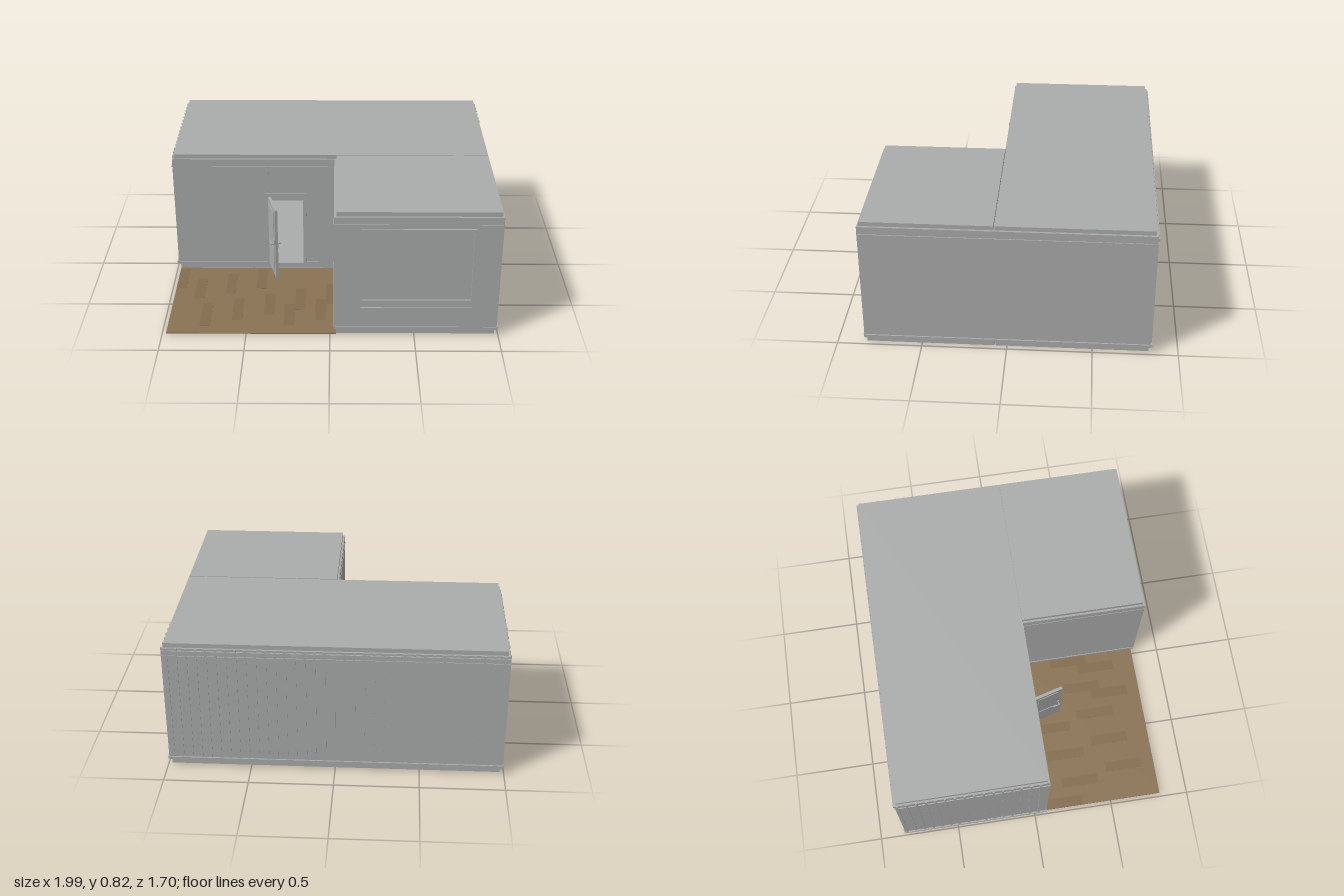
import * as THREE from 'three';

export function createModel() {
  const group = new THREE.Group();
  const grey = new THREE.MeshStandardMaterial({ color: 0xabadac });
  grey.name = 'panelGrey';
  const wood = new THREE.MeshStandardMaterial({ color: 0x8b7355 });
  wood.name = 'deckWood';
  const darkWood = new THREE.MeshStandardMaterial({ color: 0x846c4f });
  darkWood.name = 'deckWoodDark';

  // Box given by its limits on each axis
  function box(name, x0, x1, y0, y1, z0, z1, mat = grey, parent = group) {
    const mesh = new THREE.Mesh(new THREE.BoxGeometry(x1 - x0, y1 - y0, z1 - z0), mat);
    mesh.position.set((x0 + x1) / 2, (y0 + y1) / 2, (z0 + z1) / 2);
    mesh.name = name;
    parent.add(mesh);
    return mesh;
  }

  // Front-facing wall with one rectangular opening [x0, x1, y0, y1]
  function wallWithOpening(name, x0, x1, y0, y1, z, depth, o) {
    const s = new THREE.Shape();
    s.moveTo(x0, y0).lineTo(x1, y0).lineTo(x1, y1).lineTo(x0, y1).closePath();
    const h = new THREE.Path();
    h.moveTo(o[0], o[2]).lineTo(o[0], o[3]).lineTo(o[1], o[3]).lineTo(o[1], o[2]).closePath();
    s.holes.push(h);
    const mesh = new THREE.Mesh(new THREE.ExtrudeGeometry(s, { depth, bevelEnabled: false }), grey);
    mesh.position.z = z;
    mesh.name = name;
    group.add(mesh);
  }

  const low = 0.042, high = 0.795;

  // Base and roof slabs of the long and the short module
  for (const [name, y0, y1] of [['base', 0.008, 0.038], ['roof', 0.797, 0.822]]) {
    box(name + 'Long', -0.977, 0.977, y0, y1, -0.828, 0.065);
    box(name + 'Short', 0.037, 0.977, y0, y1, 0.072, 0.825);
  }
  // Recessed core strips between slabs and walls
  box('floorLong', -0.97, 0.97, 0.036, 0.046, -0.82, 0.06);
  box('floorShort', 0.045, 0.97, 0.036, 0.046, 0.075, 0.82);
  box('ceilingLong', -0.97, 0.97, 0.787, 0.798, -0.82, 0.06);
  box('ceilingShort', 0.045, 0.97, 0.787, 0.798, 0.075, 0.82);

  // Walls
  box('backWall', -0.988, 0.988, low, high, -0.84, -0.828);
  box('leftWall', -0.988, -0.975, low, high, -0.828, 0.076);
  box('rightWall', 0.975, 0.988, low, high, -0.828, 0.838);
  box('innerWall', 0.025, 0.037, low, high, 0.07, 0.838);
  wallWithOpening('entranceWall', -0.975, 0.975, low, high, 0.063, 0.012, [-0.395, -0.175, 0.05, 0.54]);
  wallWithOpening('windowWall', 0.037, 0.975, low, high, 0.826, 0.012, [0.19, 0.825, 0.245, 0.7]);

  // Battens on the back, the left and the rear of the right side
  const step = 0.0565;
  for (let i = 0; i < 35; i++) {
    const x = -0.96 + i * step;
    box('backBatten', x - 0.006, x + 0.006, 0.065, high, -0.845, -0.828);
  }
  for (let i = 0; i < 16; i++) {
    const z = -0.825 + i * step;
    box('leftBatten', -0.994, -0.975, 0.065, high, z - 0.006, z + 0.006);
    if (i < 6) box('rightBatten', 0.975, 0.993, 0.065, high, z - 0.006, z + 0.006);
  }

  // Flashing around the foot and a drip strip below the roof
  const bands = [['footFlashing', 0.045, 0.063, 0.009], ['dripStrip', 0.743, 0.749, 0.006]];
  for (const [name, y0, y1, out] of bands) {
    box(name + 'Back', -0.99, 0.99, y0, y1, -0.84 - out, -0.835);
    box(name + 'Left', -0.988 - out, -0.98, y0, y1, -0.84, 0.078);
    box(name + 'Right', 0.98, 0.988 + out, y0, y1, -0.84, 0.838);
    box(name + 'Front', 0.03, 0.985, y0, y1, 0.83, 0.838 + out / 2);
    box(name + 'Inner', 0.025 - out / 2, 0.03, y0, y1, 0.075, 0.838);
    if (name === 'dripStrip') box(name + 'Entrance', -0.985, 0.025, y0, y1, 0.07, 0.079);
  }
  box('footFlashingEntranceLeft', -0.155, 0.025, 0.045, 0.063, 0.07, 0.08);
  box('footFlashingEntranceRight', -0.985, -0.41, 0.045, 0.063, 0.07, 0.08);
  box('backTopTrim', -0.985, 0.985, 0.76, 0.782, -0.849, -0.835);
  box('panelSeam', -0.396, -0.39, 0.56, high, 0.07, 0.078);

  // Window: two sliding panes, frame and sill drip
  box('windowPaneRight', 0.19, 0.51, 0.245, 0.7, 0.822, 0.829);
  box('windowPaneLeft', 0.51, 0.825, 0.245, 0.7, 0.818, 0.825);
  box('windowHeader', 0.18, 0.835, 0.702, 0.722, 0.83, 0.847);
  for (const x of [0.18, 0.825]) box('windowJamb', x, x + 0.01, 0.245, 0.702, 0.82, 0.841);
  box('windowSillDrip', 0.18, 0.835, 0.193, 0.198, 0.83, 0.845);

  // Door frame
  box('doorFrameRight', -0.41, -0.395, 0.045, 0.545, 0.058, 0.083);
  box('doorFrameLeft', -0.175, -0.155, 0.045, 0.545, 0.058, 0.083);
  box('doorFrameTop', -0.41, -0.155, 0.54, 0.562, 0.058, 0.083);
  box('threshold', -0.395, -0.175, 0.042, 0.054, 0.058, 0.083);

  // Open door leaf with raised panels and handles on both sides
  const door = new THREE.Group();
  door.name = 'door';
  door.position.set(-0.388, 0, 0.078);
  door.rotation.y = -1.308;
  group.add(door);
  box('doorLeaf', 0, 0.195, 0.055, 0.535, -0.009, 0.009, grey, door);
  for (const s of [-1, 1]) {
    const z = s * 0.01;
    for (const [y0, y1] of [[0.08, 0.25], [0.33, 0.51]])
      box('doorPanel', 0.03, 0.165, y0, y1, z - 0.003, z + 0.003, grey, door);
    box('handlePlate', 0.167, 0.183, 0.26, 0.32, z - 0.003, z + 0.003, grey, door);
    const stem = new THREE.Mesh(new THREE.CylinderGeometry(0.004, 0.004, 0.022, 10), grey);
    stem.rotation.x = Math.PI / 2;
    stem.position.set(0.175, 0.29, s * 0.02);
    stem.name = 'handleStem';
    door.add(stem);
    box('handleLever', 0.135, 0.179, 0.286, 0.294, s * 0.029 - 0.003, s * 0.029 + 0.003, grey, door);
  }

  // Terrace deck with slightly darker boards
  box('deck', -0.977, 0.037, 0, 0.006, 0.066, 0.825, wood);
  const width = 1.014 / 16;
  for (let i = 0; i < 16; i++) {
    const x = -0.977 + i * width;
    const z = 0.085 + ((i * 5) % 8) * 0.06;
    if (i % 3 !== 1) box('deckBoard', x, x + width, 0.004, 0.007, z, z + 0.24, darkWood);
  }
  return group;
}
